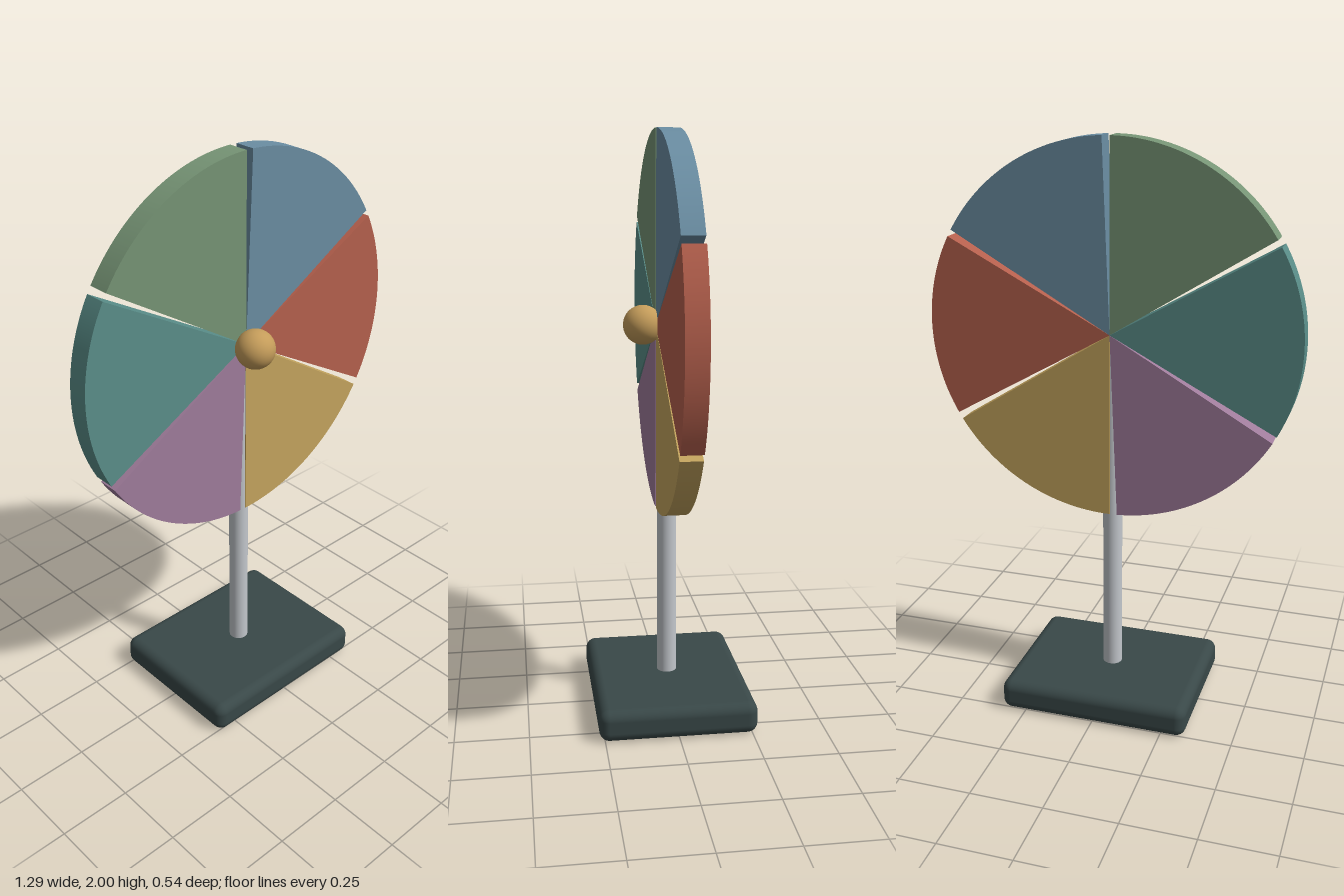
import * as THREE from 'three';
import { RoundedBoxGeometry } from 'three/addons/geometries/RoundedBoxGeometry.js';
import { toCreasedNormals } from 'three/addons/utils/BufferGeometryUtils.js';

const HUB_Y = 1.355;
const RADIUS = 0.645;
const DEPTH = 0.074;
const GAP = 0.04; // radians left open after each wedge

function material(name, color) {
  const m = new THREE.MeshStandardMaterial({ color });
  m.name = name;
  return m;
}

function addMesh(parent, name, geometry, mat, x, y, z) {
  const mesh = new THREE.Mesh(geometry, mat);
  mesh.name = name;
  mesh.position.set(x, y, z);
  parent.add(mesh);
  return mesh;
}

export function createModel() {
  const model = new THREE.Group();
  model.name = 'colourWheelOnStand';

  // Stand: rounded base and round pole ending at the hub
  addMesh(model, 'base', new RoundedBoxGeometry(0.674, 0.11, 0.538, 5, 0.035),
    material('dark slate', 0x394848), 0, 0.055, 0);
  const poleBottom = 0.08;
  const poleHeight = HUB_Y - poleBottom;
  addMesh(model, 'pole', new THREE.CylinderGeometry(0.034, 0.034, poleHeight, 32),
    material('light metal', 0xc3c7cc), 0, poleBottom + poleHeight / 2, 0);

  // Wheel: six wedges, each sixty degrees less a narrow gap
  const wheel = new THREE.Group();
  wheel.name = 'wheel';
  wheel.position.y = HUB_Y;
  model.add(wheel);

  const step = Math.PI / 3;
  const shape = new THREE.Shape();
  shape.moveTo(0, 0);
  shape.lineTo(RADIUS, 0);
  shape.absarc(0, 0, RADIUS, 0, step - GAP, false);
  shape.lineTo(0, 0);
  const wedgeGeometry = toCreasedNormals(
    new THREE.ExtrudeGeometry(shape, { depth: DEPTH, bevelEnabled: false, curveSegments: 32 }), 0.5);

  // Counter-clockwise from the model's left side
  const colours = [
    ['red', 0xb5604d], ['blue', 0x6a8da2], ['green', 0x769475],
    ['teal', 0x5a8e89], ['purple', 0x9f7c9b], ['yellow', 0xc4a45e],
  ];
  colours.forEach(([name, hex], i) => {
    const wedge = addMesh(wheel, name + 'Wedge', wedgeGeometry, material(name, hex), 0, 0, -DEPTH / 2);
    wedge.rotation.z = -Math.PI / 6 + i * step;
  });

  // Hub ball on the front
  addMesh(model, 'hubBall', new THREE.SphereGeometry(0.067, 32, 24),
    material('brass', 0xc49c5a), 0, HUB_Y, 0.081);

  return model;
}
